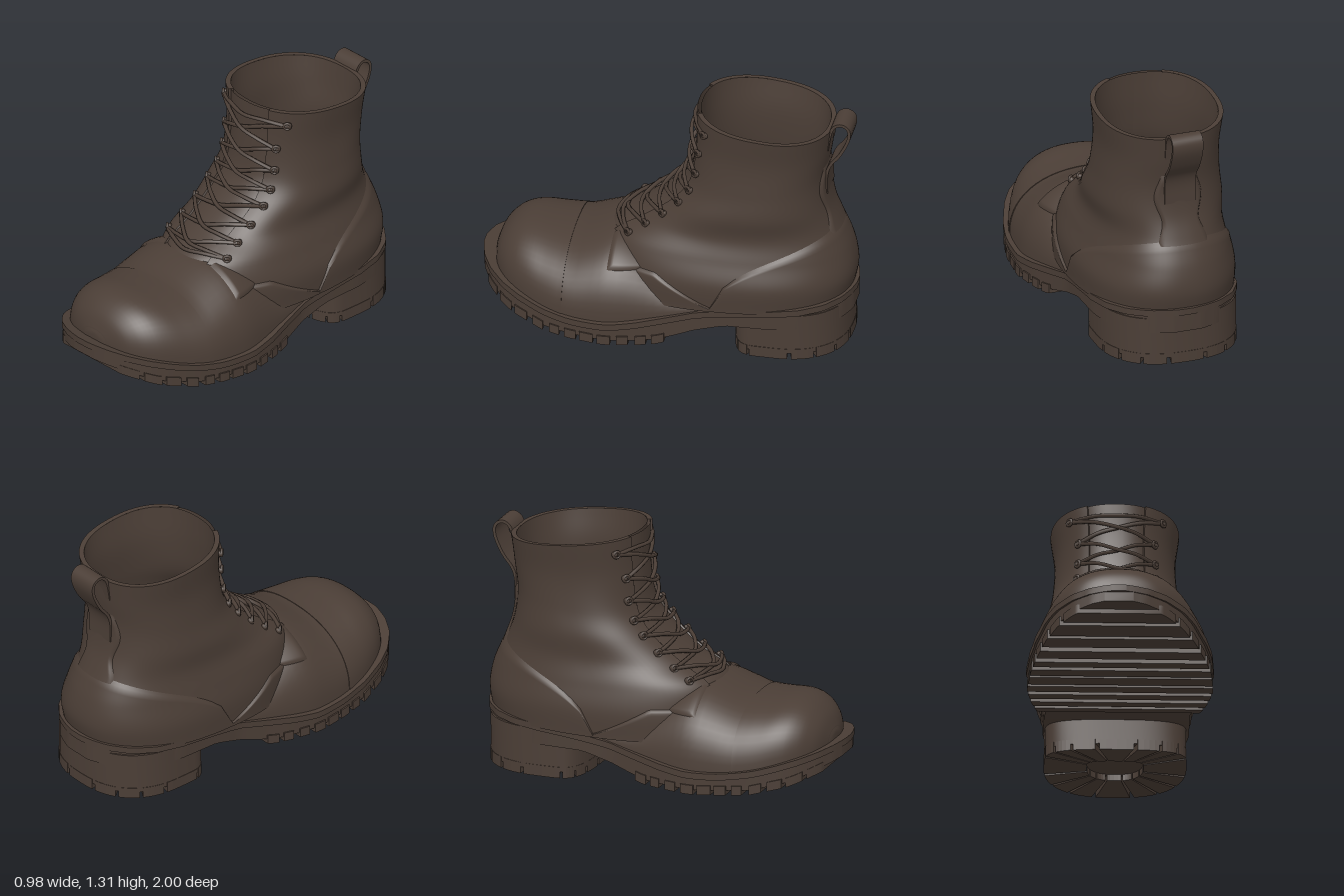
import * as THREE from 'three';
import { toCreasedNormals } from 'three/addons/utils/BufferGeometryUtils.js';

const leather = new THREE.MeshStandardMaterial({ color: 0x4b3e36, side: THREE.DoubleSide });
leather.name = 'dark brown leather';

// Interpolates rows of [position, values...]; positions ascend
function track(rows, Kind = THREE.CubicInterpolant) {
  const size = rows[0].length - 1;
  const it = new Kind(rows.map(r => r[0]), new Float32Array(rows.flatMap(r => r.slice(1))), size, new Float32Array(size));
  return t => Array.from(it.evaluate(t));
}

// Closed solid through a list of rings with equal point counts
function loft(rings) {
  const n = rings[0].length, pos = rings.flat(2), idx = [];
  for (let i = 0; i < rings.length - 1; i++)
    for (let j = 0; j < n; j++) {
      const a = i * n + j, b = i * n + (j + 1) % n;
      idx.push(a, b, a + n, b, b + n, a + n);
    }
  for (const [k, flip] of [[0, true], [rings.length - 1, false]]) {
    const c = [0, 1, 2].map(d => rings[k].reduce((s, p) => s + p[d], 0) / n);
    const ci = pos.length / 3;
    pos.push(...c);
    for (let j = 0; j < n; j++) {
      const a = k * n + j, b = k * n + (j + 1) % n;
      idx.push(...(flip ? [ci, b, a] : [ci, a, b]));
    }
  }
  const g = new THREE.BufferGeometry();
  g.setAttribute('position', new THREE.Float32BufferAttribute(pos, 3));
  g.setIndex(idx);
  return toCreasedNormals(g, 0.7);
}

// Open surface from a function of u and v
function patch(fn, nu, nv) {
  const pos = [], idx = [];
  for (let i = 0; i <= nv; i++)
    for (let j = 0; j <= nu; j++) {
      pos.push(...fn(j / nu, i / nv));
      if (i < nv && j < nu) {
        const a = i * (nu + 1) + j, b = a + nu + 1;
        idx.push(a, a + 1, b, a + 1, b + 1, b);
      }
    }
  const g = new THREE.BufferGeometry();
  g.setAttribute('position', new THREE.Float32BufferAttribute(pos, 3));
  g.setIndex(idx);
  g.computeVertexNormals();
  return g;
}

const pw = (v, e) => Math.sign(v) * Math.pow(Math.abs(v), e);
const toeLean = z => -0.005 - 0.05 * Math.max(0, z - 0.5);

// Shaft rings, bottom to top: back z, back y, front z, front y, half width, centre x
const shaft = track([
  [-0.955, 0.28, 0.34, 0.26, 0.405, -0.01], [-0.975, 0.40, 0.34, 0.42, 0.405, -0.01],
  [-0.95, 0.53, 0.31, 0.55, 0.37, -0.018], [-0.89, 0.67, 0.15, 0.65, 0.336, -0.022],
  [-0.845, 0.80, -0.005, 0.77, 0.341, -0.015], [-0.83, 0.95, -0.105, 0.90, 0.322, -0.012],
  [-0.85, 1.10, -0.138, 1.10, 0.312, -0.012], [-0.865, 1.24, -0.145, 1.31, 0.332, -0.012],
].map((r, i) => [i / 7, ...r]));

// Point on the shaft: angle 0 is the front, v runs up, off pushes outward
function onShaft(angle, v, off = 0) {
  const [zb, yb, zf, yf, w, x] = shaft(Math.min(1, Math.max(0, v)));
  const c = pw(Math.cos(angle), 0.87), s = pw(Math.sin(angle), 0.87);
  return [x + (w + off) * s, yb + (yf - yb) * (c + 1) / 2, (zb + zf) / 2 + ((zf - zb) / 2 + off) * c];
}

// Sole outline and heights along z
const soleWidth = track([
  [-1, 0.03], [-0.985, 0.1], [-0.95, 0.19], [-0.87, 0.29], [-0.75, 0.36], [-0.6, 0.388], [-0.4, 0.388],
  [-0.2, 0.385], [-0.05, 0.42], [0.1, 0.462], [0.25, 0.486], [0.45, 0.472], [0.6, 0.44], [0.75, 0.385],
  [0.84, 0.33], [0.92, 0.245], [0.97, 0.15], [0.99, 0.08], [1, 0.03]], THREE.LinearInterpolant);
const soleTop = track([[-1, 0.315], [-0.6, 0.29], [-0.3, 0.255], [0, 0.2], [0.3, 0.165], [0.6, 0.195], [0.8, 0.25], [1, 0.31]]);
const soleBottom = track([[-1, 0.16], [-0.36, 0.148], [-0.07, 0.065], [0, 0.05], [0.3, 0.043], [0.6, 0.065], [0.8, 0.115], [1, 0.2]],
  THREE.LinearInterpolant);

function soleSlab(zFrom, zTo, count, grow, top, bottom) {
  const rings = [];
  for (let i = 0; i <= count; i++) {
    const z = (zFrom + zTo) / 2 - (zTo - zFrom) / 2 * Math.cos(Math.PI * i / count);
    const w = Math.max(0.015, soleWidth(z)[0] + grow), t = top(z), b = bottom(z), x = toeLean(z);
    rings.push([[x - w, b, z], [x + w, b, z], [x + w, t, z], [x - w, t, z]]);
  }
  return loft(rings);
}

// Vamp sections: half width, base y, crown y
const vamp = track([
  [-0.9, 0.24, 0.28, 0.31], [-0.6, 0.34, 0.27, 0.33], [-0.3, 0.365, 0.24, 0.36], [-0.05, 0.405, 0.19, 0.44],
  [0.1, 0.437, 0.165, 0.53], [0.25, 0.46, 0.16, 0.568], [0.36, 0.457, 0.16, 0.537], [0.48, 0.445, 0.165, 0.497],
  [0.6, 0.413, 0.18, 0.498], [0.72, 0.363, 0.215, 0.507], [0.79, 0.32, 0.235, 0.494], [0.855, 0.255, 0.255, 0.453],
  [0.9, 0.172, 0.27, 0.395], [0.925, 0.07, 0.28, 0.33]]);

// Point on the vamp: a sweeps from the left side over the crown to the right
function onVamp(z, a, grow) {
  const [w, b, t] = vamp(z);
  return [toeLean(z) + (w + grow) * pw(Math.cos(a), 0.87), b + (t + grow - b) * pw(Math.sin(a), 0.87), z];
}

function vampShell(zFrom, zTo, count, grow) {
  return loft(Array.from({ length: count + 1 }, (_, i) => {
    const z = zFrom + (zTo - zFrom) * Math.sin(Math.PI / 2 * i / count);
    return Array.from({ length: 29 }, (_, j) => onVamp(z, Math.PI * j / 28, grow));
  }));
}

export function createModel() {
  const boot = new THREE.Group();
  boot.name = 'boot';
  const add = (name, geometry) => {
    const m = new THREE.Mesh(geometry, leather);
    m.name = name;
    boot.add(m);
  };

  // Sole: welt, outsole and tread bars
  add('welt', soleSlab(-1, 1, 64, 0.006, z => soleTop(z)[0], z => soleTop(z)[0] - 0.035));
  add('outsole', soleSlab(-0.99, 0.99, 64, -0.006, z => soleTop(z)[0] - 0.03, z => soleBottom(z)[0] + 0.024));
  for (let i = 0; i < 11; i++) {
    const z = -0.045 + i * 0.092, end = Math.min(0.985, z + 0.064 + 0.01 * Math.sin(i * 5));
    add('treadBar', soleSlab(z, end, 4, 0.002, q => soleBottom(q)[0] + 0.05, q => soleBottom(q)[0]));
  }

  // Heel block with a ring of wedge lugs underneath
  const edge = (a, r) => {
    const c = Math.cos(a), s = Math.sin(a);
    return new THREE.Vector2(-0.008 + 0.372 * r * pw(c, 0.8), 0.62 + (s > 0 ? 0.355 * r * pw(s, 0.9) : 0.245 * r * pw(s, 0.35)));
  };
  const prism = (points, y, height) => new THREE.ExtrudeGeometry(new THREE.Shape(points), { depth: height, bevelEnabled: false })
    .rotateX(-Math.PI / 2).translate(0, y, 0);
  const arc = (a0, a1, n, r) => Array.from({ length: n + 1 }, (_, i) => edge(a0 + (a1 - a0) * i / n, r));
  add('heelBlock', toCreasedNormals(prism(arc(0, Math.PI * 2 * 47 / 48, 47, 1), 0.035, 0.225), 0.7));
  for (let i = 0; i < 16; i++) {
    const a = (i - 0.5) * Math.PI / 8 + 0.03, b = a + 0.34;
    add('heelLug', prism([...arc(a, b, 4, 1.005), ...arc(b, a, 4, 0.4)], 0, 0.06));
  }

  // Foot: vamp and overlapping toe cap
  add('vamp', vampShell(-0.9, 0.925, 48, 0));
  add('toeCap', vampShell(0.5, 0.92, 24, 0.004));

  // Shaft: closed lining, tongue, and quarters open at the front
  const TAU = Math.PI * 2;
  const gap = v => 0.42 - 0.12 * Math.max(0, 0.6 - v);
  const round = (u, v) => gap(v) + (TAU - 2 * gap(v)) * u;
  add('lining', patch((u, v) => onShaft(u * TAU, v, -0.022), 64, 40));
  add('tongue', patch((u, v) => onShaft((u - 0.5) * 1.1, 0.25 + 0.75 * v, -0.012 + 0.01 * Math.sin(u * Math.PI)), 16, 30));
  add('quarters', patch((u, v) => onShaft(round(u, v), v, 0.004), 72, 48));
  add('collarRim', patch((u, v) => onShaft(round(u, 1), 1, 0.004 - 0.026 * v), 72, 1));
  for (const u of [0, 1])
    add('quarterEdge', patch((s, v) => onShaft(round(u, v), v, 0.004 - 0.026 * s), 1, 40));

  // Edges of overlapping pieces turn down to the surface below
  const fade = t => Math.min(1, (1 - t) * 14);

  // Front corners of the quarters lying over the vamp, and vamp wings running back below them
  for (const s of [-1, 1]) {
    add('quarterFlap', patch((u, v) => {
      const z = 0.02 + 0.25 * v, [w, b, t] = vamp(z);
      const low = Math.asin(Math.pow((0.43 - b) / (t - b), 1 / 0.87)), high = Math.acos(Math.pow(0.17 / w, 1 / 0.87));
      const a = low + (Math.max(low, high) - low) * u;
      return onVamp(z, s > 0 ? a : Math.PI - a, 0.012 * fade(v) * fade(1 - u));
    }, 16, 16));
    add('vampWing', patch((u, v) => {
      const a = 0.75 + 0.85 * u, drop = Math.min(1, Math.max(0, (a - 1.1) / 0.5));
      return onShaft(s * a, v * 0.17 * (1 - drop), 0.002 + 0.016 * fade(v) * fade(u));
    }, 28, 16));
  }

  // Heel counter and back strip
  add('heelCounter', patch((u, v) => {
    const p = (u - 0.5) * 2;
    return onShaft(Math.PI + p * 1.6, v * 0.425 * Math.pow(Math.max(0, 1 - p * p), 0.42), 0.004 + 0.013 * fade(v));
  }, 48, 24));
  add('backStrip', patch((u, v) => {
    const p = (u - 0.5) * 2;
    return onShaft(Math.PI + p * (0.3 + 0.05 * Math.cos(v * 9)), 0.4 + 0.38 * v, 0.004 + 0.012 * fade(Math.abs(p)) * fade(v));
  }, 16, 20));

  // Pull loop at the back, a band bent along a curve
  const loop = new THREE.SplineCurve([[-0.845, 1.12], [-0.862, 1.22], [-0.885, 1.265], [-0.925, 1.278], [-0.96, 1.25], [-0.958, 1.19],
    [-0.915, 1.1], [-0.862, 1.03], [-0.842, 0.96], [-0.842, 0.86]].map(p => new THREE.Vector2(...p)));
  const side = d => Array.from({ length: 37 }, (_, i) => {
    const p = loop.getPoint(i / 36), t = loop.getTangent(i / 36);
    return new THREE.Vector2(p.x - t.y * d, p.y + t.x * d);
  });
  const band = new THREE.ExtrudeGeometry(new THREE.Shape([...side(0.008), ...side(-0.008).reverse()]), { depth: 0.17, bevelEnabled: false });
  add('pullLoop', toCreasedNormals(band.rotateY(-Math.PI / 2).translate(0.07, 0, 0), 0.7));

  // Eyelet hooks and crossed laces
  const rows = [0.33, 0.41, 0.5, 0.595, 0.68, 0.765, 0.85, 0.95];
  const hook = (i, s) => new THREE.Vector3(...onShaft(s * (i === 7 ? 0.75 : 0.6), rows[i], 0.018));
  const lace = (a, b, v, lift) => {
    const mid = new THREE.Vector3(...onShaft(0, v, 0.014 + lift));
    const near = p => p.clone().lerp(mid, 0.5).add(new THREE.Vector3(0, 0.008, 0.016));
    return new THREE.TubeGeometry(new THREE.CatmullRomCurve3([a, near(a), mid, near(b), b]), 20, 0.011, 6);
  };
  rows.forEach((v, i) => {
    for (const s of [-1, 1]) {
      const p = hook(i, s);
      add('eyelet', new THREE.TorusGeometry(0.017, 0.008, 6, 12).rotateY(s * 0.8).translate(p.x, p.y, p.z));
      add('eyeletStud', new THREE.SphereGeometry(0.017, 10, 8).translate(p.x, p.y, p.z - 0.012));
      if (i < 7) add('lace', lace(hook(i, s), hook(i + 1, -s), (v + rows[i + 1]) / 2, s > 0 ? 0.016 : 0));
    }
  });
  add('bottomLace', lace(hook(0, -1), hook(0, 1), rows[0], 0));
  add('topLace', lace(hook(7, -1), hook(7, 1), rows[7], 0));
  return boot;
}
